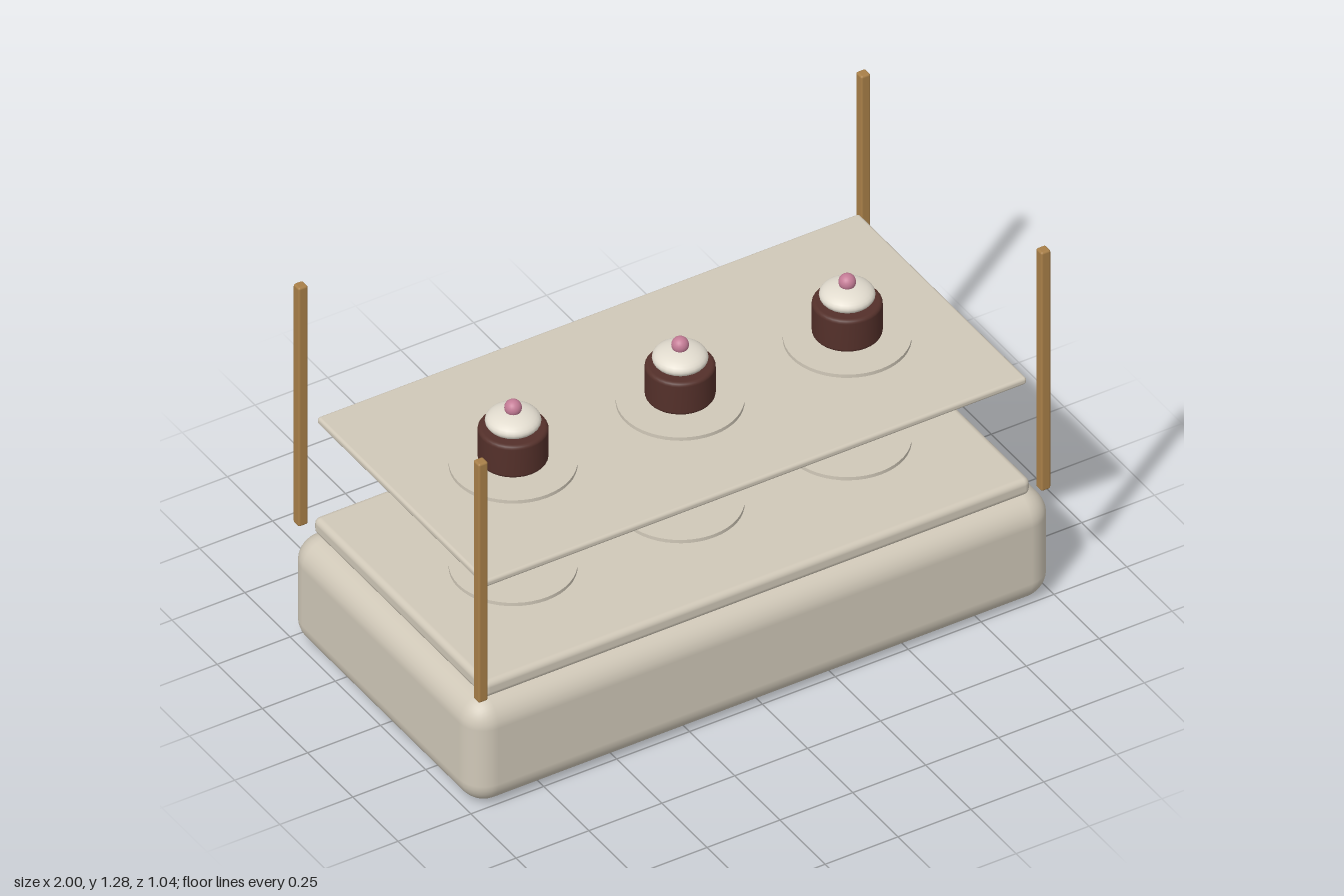
import * as THREE from 'three';
import { RoundedBoxGeometry } from 'three/addons/geometries/RoundedBoxGeometry.js';

const material = (name, color) => {
  const m = new THREE.MeshStandardMaterial({ color });
  m.name = name;
  return m;
};

export function createModel() {
  const stone = material('warm stone', 0xd0c8b8);
  const wood = material('golden wood', 0xa87f48);
  const chocolate = material('chocolate', 0x54302a);
  const cream = material('cream', 0xe2dccf);
  const pink = material('cherry pink', 0xc47c96);
  const crust = material('baked crust', 0xb08a4c);

  const model = new THREE.Group();
  model.name = 'pastryDisplay';

  const add = (parent, name, geometry, mat, x, y, z) => {
    const mesh = new THREE.Mesh(geometry, mat);
    mesh.name = name;
    mesh.position.set(x, y, z);
    parent.add(mesh);
    return mesh;
  };
  const group = (name, x, y, z) => {
    const g = new THREE.Group();
    g.name = name;
    g.position.set(x, y, z);
    model.add(g);
    return g;
  };

  // Counter body, counter top and raised shelf
  add(model, 'base', new RoundedBoxGeometry(2, 0.375, 1.036, 4, 0.085), stone, 0, 0.1875, 0);
  add(model, 'counterTop', new RoundedBoxGeometry(1.876, 0.058, 0.95, 3, 0.02), stone, 0, 0.404, 0);
  add(model, 'shelf', new RoundedBoxGeometry(1.86, 0.025, 0.932, 3, 0.01), stone, 0, 0.789, 0);

  // Corner posts
  const post = new RoundedBoxGeometry(0.033, 0.875, 0.033, 2, 0.007);
  for (const x of [-0.965, 0.965])
    for (const z of [-0.498, 0.498]) add(model, 'post', post, wood, x, 0.8425, z);

  // Shared pastry shapes
  const plate = new THREE.CylinderGeometry(0.188, 0.188, 0.012, 48);
  const ball = new THREE.SphereGeometry(1, 24, 16);
  const r = 0.104, h = 0.117, b = 0.012;
  const profile = [new THREE.Vector2(0, 0)];
  for (let i = 0; i <= 4; i++) {
    const a = (i / 4) * Math.PI / 2;
    profile.push(new THREE.Vector2(r - b + b * Math.sin(a), b - b * Math.cos(a)));
  }
  for (let i = 0; i <= 4; i++) {
    const a = (i / 4) * Math.PI / 2;
    profile.push(new THREE.Vector2(r - b + b * Math.cos(a), h - b + b * Math.sin(a)));
  }
  profile.push(new THREE.Vector2(0, h));
  const cakeBody = new THREE.LatheGeometry(profile, 32);

  for (const x of [-0.573, 0, 0.573]) {
    // Cake with cream and cherry on the shelf
    const cake = group('cake', x, 0.82, 0.045);
    add(cake, 'cakePlate', plate, stone, 0, 0, 0);
    add(cake, 'sponge', cakeBody, chocolate, 0, 0.02, 0);
    add(cake, 'creamTop', ball, cream, 0, 0.159, 0).scale.set(0.083, 0.035, 0.083);
    add(cake, 'cherry', ball, pink, 0, 0.204, 0).scale.setScalar(0.026);

    // Gently curved roll made of overlapping lobes on the counter
    const pastry = group('pastry', x, 0.444, 0.045);
    add(pastry, 'pastryPlate', plate, stone, 0, 0, 0);
    for (let i = -2; i <= 2; i++) {
      const z = -0.047 + 0.0035 * i * i;
      add(pastry, 'pastryLobe', ball, crust, i * 0.048, 0.054, z).scale.set(0.046, 0.042, 0.055);
    }
  }
  return model;
}
